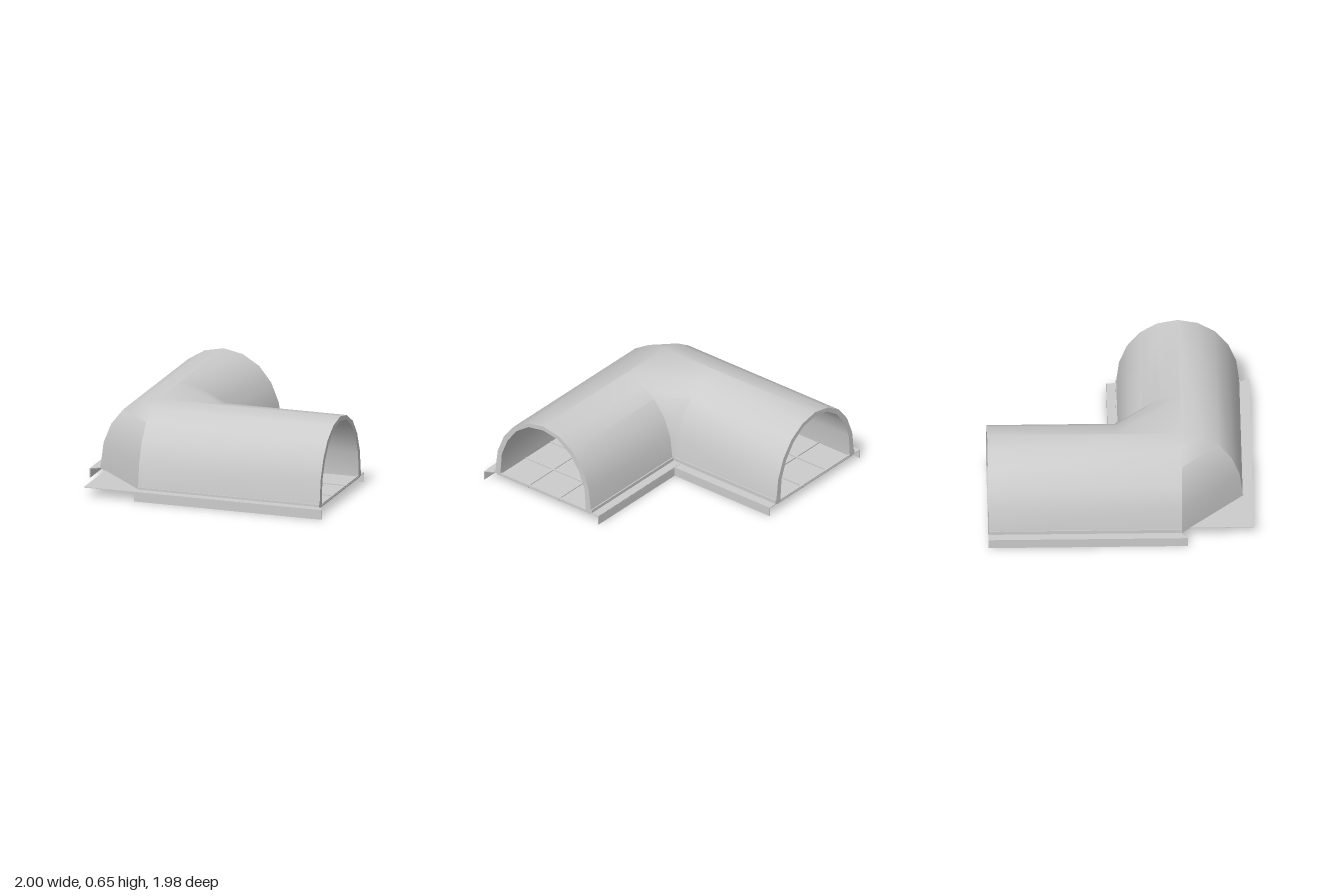
import * as THREE from 'three';
import { toCreasedNormals } from 'three/addons/utils/BufferGeometryUtils.js';

const CX = -0.47, CZ = 0.45;              // centre lines of the two arms
const END_X = 0.96, END_Z = -0.99;        // open ends
const OUTER = [[0.46, 0.07], [0.435, 0.27], [0.375, 0.42], [0.28, 0.54], [0.15, 0.62], [0, 0.65]];
const INNER = [[0.41, 0.07], [0.395, 0.26], [0.34, 0.395], [0.255, 0.51], [0.14, 0.59], [0, 0.615]];

const mat = new THREE.MeshStandardMaterial({ color: 0xcccccc, side: THREE.DoubleSide });

export function createModel() {
  const model = new THREE.Group();

  function add(parent, name, geometry, x = 0, y = 0, z = 0) {
    const mesh = new THREE.Mesh(geometry, mat);
    mesh.name = name;
    mesh.position.set(x, y, z);
    parent.add(mesh);
    return mesh;
  }
  // Box given by its limits
  function box(parent, name, x0, x1, y0, y1, z0, z1) {
    return add(parent, name, new THREE.BoxGeometry(x1 - x0, y1 - y0, z1 - z0),
      (x0 + x1) / 2, (y0 + y1) / 2, (z0 + z1) / 2);
  }
  // Thin horizontal plate from [x, z] corners, top at y
  function plate(parent, name, corners, y, thick) {
    const shape = new THREE.Shape(corners.map(([x, z]) => new THREE.Vector2(x, -z)));
    const geo = new THREE.ExtrudeGeometry(shape, { depth: thick, bevelEnabled: false });
    geo.rotateX(-Math.PI / 2);
    return add(parent, name, geo, 0, y - thick, 0);
  }

  // Vaulted shell: each half of the arch is swept round the bend
  const pos = [];
  const tri = (a, b, c, flip) => pos.push(...a, ...(flip ? c : b), ...(flip ? b : c));
  const quad = (a, b, c, d, flip) => { tri(a, b, c, flip); tri(a, c, d, flip); };
  const ring = [...OUTER, ...[...INNER].reverse()];
  const n = OUTER.length, m = ring.length;
  for (const side of [1, -1]) {
    const flip = side < 0;
    const bendZ = flip ? CZ : -0.03, bendX = flip ? CX : 0;
    const at = (d, y) => [
      [CX + side * d, y, END_Z], [CX + side * d, y, bendZ],
      [bendX, y, CZ - side * d], [END_X, y, CZ - side * d]];
    const paths = ring.map(([d, y]) => at(d, y));
    for (let j = 0; j < m; j++) {
      if (j === n - 1) continue;          // halves meet at the crest
      const p = paths[j], q = paths[(j + 1) % m];
      for (let k = 0; k < 3; k++) quad(p[k], q[k], q[k + 1], p[k + 1], flip);
    }
    for (let j = 0; j < n - 1; j++) {     // wall thickness at the open ends
      const i = m - 1 - j;
      quad(paths[j][0], paths[j + 1][0], paths[i - 1][0], paths[i][0], !flip);
      quad(paths[j][3], paths[j + 1][3], paths[i - 1][3], paths[i][3], flip);
    }
  }
  for (const [y, flip] of [[0.65, false], [0.615, true]])   // flat at the bend's crown
    tri([CX, y, -0.03], [CX, y, CZ], [0, y, CZ], flip);
  const shell = new THREE.BufferGeometry();
  shell.setAttribute('position', new THREE.Float32BufferAttribute(pos, 3));
  add(model, 'vaultShell', toCreasedNormals(shell, 0.6));

  // Floor plates, one per arm, with ledges outside the walls
  const floor = new THREE.Group();
  floor.name = 'floor';
  model.add(floor);
  plate(floor, 'backArmFloor',
    [[-1, END_Z], [0.065, END_Z], [0.065, -0.08], [-0.01, 0], [-0.01, 0.44], [-0.93, 0.44], [-1, 0.49]], 0.072, 0.005);
  plate(floor, 'sideArmFloor',
    [[-0.87, -0.08], [END_X, -0.08], [END_X, 0.91], [1, 0.975], [END_X, 0.985], [-0.87, 0.985]], 0.074, 0.005);

  // Skirts hanging from the ledges
  const skirts = new THREE.Group();
  skirts.name = 'skirts';
  model.add(skirts);
  const t = 0.005;
  box(skirts, 'outerBackSkirt', -1, -1 + t, 0, 0.07, END_Z, 0.49);
  box(skirts, 'innerBackSkirt', 0.065 - t, 0.065, 0, 0.07, END_Z, -0.08);
  box(skirts, 'outerFrontSkirt', -0.475, 1, 0, 0.07, 0.98, 0.985);
  box(skirts, 'innerFrontSkirt', -0.87, END_X, 0, 0.068, -0.08, -0.08 + t);

  // Low curbs along the feet of the walls
  const curbs = new THREE.Group();
  curbs.name = 'curbs';
  model.add(curbs);
  box(curbs, 'outerBackCurb', -0.932, -0.9, 0.07, 0.1, END_Z, 0.44);
  box(curbs, 'innerBackCurb', -0.04, -0.005, 0.07, 0.1, END_Z, -0.01);
  box(curbs, 'outerFrontCurb', -0.47, END_X, 0.07, 0.09, 0.885, 0.915);
  box(curbs, 'innerFrontCurb', -0.005, END_X, 0.07, 0.1, -0.015, 0.02);

  // Floor grid: thin bars proud of the plates above and below
  const grid = new THREE.Group();
  grid.name = 'floorGrid';
  model.add(grid);
  const w = 0.007, low = 0.06, high = 0.081, pitch = 0.29;
  for (let i = 0; i <= 3; i++) {
    const x = CX + (i - 1.5) * pitch, z = CZ + (i - 1.5) * pitch;
    box(grid, 'backArmLongBar', x - w, x + w, low, high, END_Z, i ? CZ : 0.4);
    box(grid, 'sideArmLongBar', i === 3 ? -0.45 : CX, END_X, low, high, z - w, z + w);
  }
  for (let i = 0; i <= 5; i++) {
    const z = END_Z + 0.01 + i * pitch, x = END_X - 0.01 - i * pitch;
    box(grid, 'backArmCrossBar', CX - 0.43, CX + 0.43, low, high, z - w, z + w);
    box(grid, 'sideArmCrossBar', x - w, x + w, low, high, CZ - 0.43, CZ + (x < CX ? 0 : 0.43));
  }
  return model;
}
